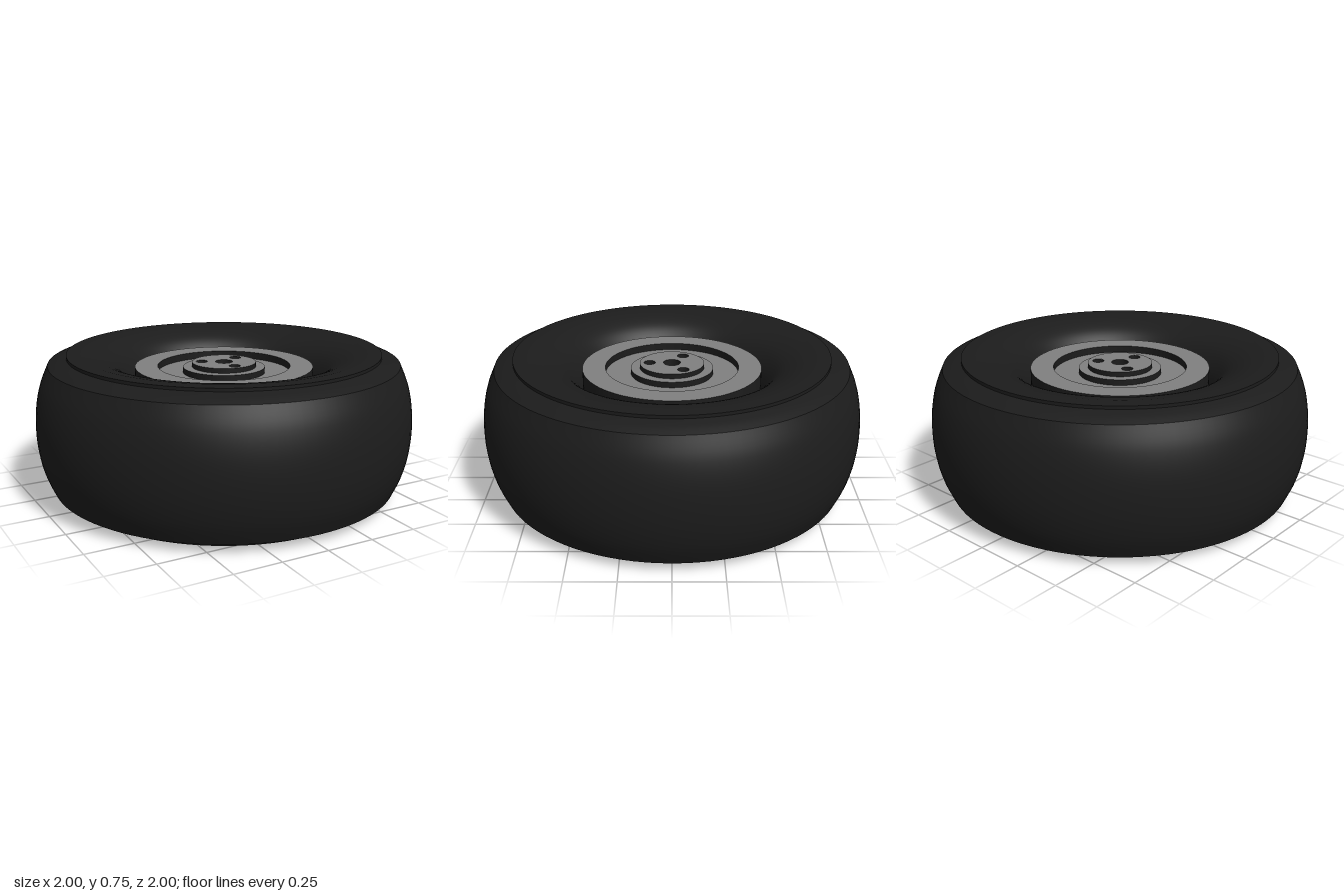
import * as THREE from 'three';

const H = 0.755;        // overall width of the wheel, lying on its side
const SEG = 96;
const FACE = 0.672;     // rim face height
const FLOOR = 0.635;    // groove floor
const HUB = 0.665;      // hub step
const BOSS = 0.69;      // centre boss
const BORE = 0.045;

const rubber = new THREE.MeshStandardMaterial({ color: 0x1c1c1c });
const metal = new THREE.MeshStandardMaterial({ color: 0x808080 });

// One smooth band of revolution; points run so that the surface faces left of travel
function band(name, points, material, seg = SEG) {
  const pts = points.map(([r, y]) => new THREE.Vector2(r, y));
  const mesh = new THREE.Mesh(new THREE.LatheGeometry(pts, seg), material);
  mesh.name = name;
  return mesh;
}

const flip = (points) => points.map(([r, y]) => [r, H - y]).reverse();

function curve(points, n) {
  const c = new THREE.SplineCurve(points.map(([r, y]) => new THREE.Vector2(r, y)));
  return c.getPoints(n).map((p) => [p.x, p.y]);
}

function disc(radius, holes) {
  const shape = new THREE.Shape().absarc(0, 0, radius, 0, Math.PI * 2);
  for (const [x, y, r] of holes) shape.holes.push(new THREE.Path().absarc(x, y, r, 0, Math.PI * 2, true));
  return new THREE.ShapeGeometry(shape, 48).rotateX(-Math.PI / 2);
}

export function createModel() {
  const model = new THREE.Group();
  model.name = 'wheel';
  const tyre = new THREE.Group();
  tyre.name = 'tyre';
  const rim = new THREE.Group();
  rim.name = 'rim';
  model.add(tyre, rim);

  // Rounded tread
  tyre.add(band('tread', curve([
    [0.925, 0.05], [0.967, 0.15], [0.992, 0.26], [1, H / 2],
    [0.992, H - 0.26], [0.967, H - 0.15], [0.925, H - 0.05],
  ], 32), rubber));

  // Shoulders, raised sidewall steps and sidewalls dipping towards the rim
  const tyreBands = {
    shoulder: curve([[0.925, H - 0.05], [0.88, 0.724], [0.828, 0.739]], 8),
    sidewallStep: [[0.828, 0.739], [0.828, H]],
    sidewallRing: [[0.828, H], [0.755, H]],
    sidewall: curve([[0.755, H], [0.66, 0.735], [0.57, 0.69], [0.505, 0.615], [0.465, 0.53]], 20),
  };
  for (const [name, pts] of Object.entries(tyreBands)) {
    tyre.add(band(name + 'Top', pts, rubber), band(name + 'Bottom', flip(pts), rubber));
  }

  // Rim: dark upright walls and grey flat faces on both sides
  const rimBands = [
    ['rimFace', [[0.473, FACE], [0.352, FACE]], metal],
    ['grooveWall', [[0.352, FACE], [0.352, FLOOR]], rubber],
    ['grooveFloor', [[0.352, FLOOR], [0.218, FLOOR]], metal],
    ['hubWall', [[0.218, FLOOR], [0.218, HUB]], rubber],
    ['hubFace', [[0.218, HUB], [0.17, HUB]], metal],
    ['bossWall', [[0.17, HUB], [0.17, BOSS]], rubber],
  ];
  for (const [name, pts, material] of rimBands) {
    rim.add(band(name + 'Top', pts, material), band(name + 'Bottom', flip(pts), material));
  }
  rim.add(band('rimBarrel', [[0.473, H - FACE], [0.473, FACE]], rubber));
  rim.add(band('axleBore', [[BORE, BOSS], [BORE, H - BOSS]], rubber, 48));

  // Top boss with three blind bolt holes
  const bolts = [];
  for (let i = 0; i < 3; i++) {
    const a = -Math.PI / 2 + (i * Math.PI * 2) / 3;
    bolts.push([0.118 * Math.cos(a), 0.118 * Math.sin(a), 0.03]);
  }
  const bossTop = new THREE.Mesh(disc(0.17, [[0, 0, BORE], ...bolts]), metal);
  bossTop.name = 'bossFaceTop';
  bossTop.position.y = BOSS;
  rim.add(bossTop);
  for (const [x, y, r] of bolts) {
    const wall = band('boltHoleWall', [[r, BOSS], [r, BOSS - 0.1]], rubber, 32);
    const floor = band('boltHoleFloor', [[r, BOSS - 0.1], [0, BOSS - 0.1]], rubber, 32);
    for (const m of [wall, floor]) {
      m.position.set(x, 0, -y);
      rim.add(m);
    }
  }

  // Plain bottom boss
  rim.add(band('bossFaceBottom', flip([[0.17, BOSS], [BORE, BOSS]]), metal));

  return model;
}
